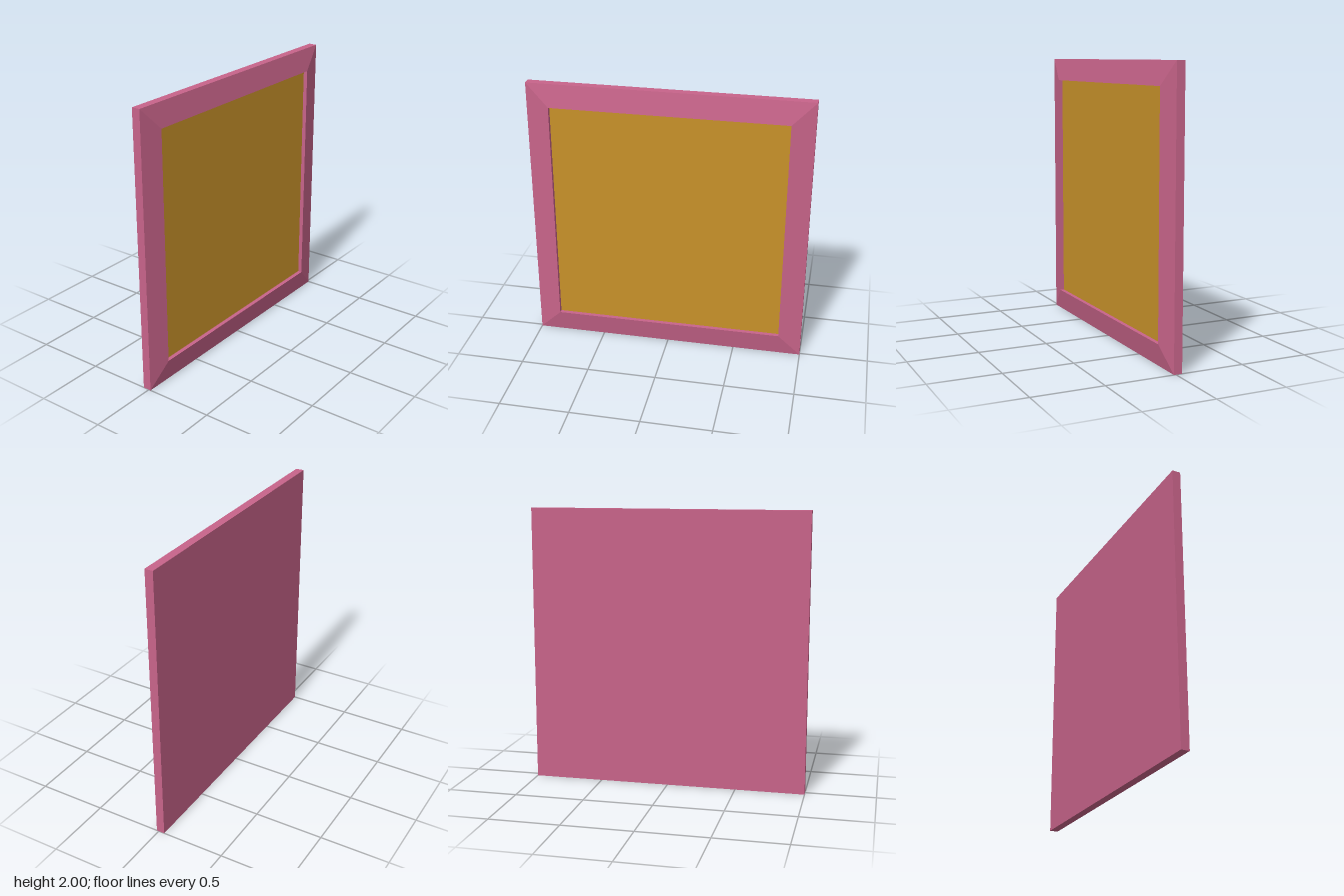
import * as THREE from 'three';

const HALF = 1, INNER = 0.837, BACK = -0.045, EDGE = 0.015, LIP = 0.045;

// Four-sided lathe: each profile point is [half width, z], swept round a square
function squareSweep(profile) {
  const points = profile.map(([half, z]) => new THREE.Vector2(half * Math.SQRT2, z));
  const swept = new THREE.LatheGeometry(points, 4, Math.PI / 4);
  swept.rotateX(Math.PI / 2);
  const geometry = swept.toNonIndexed();
  geometry.computeVertexNormals();
  return geometry;
}

function addPart(group, name, geometry, color) {
  const material = new THREE.MeshStandardMaterial({ color, flatShading: true });
  const mesh = new THREE.Mesh(geometry, material);
  mesh.name = name;
  mesh.position.y = HALF;
  group.add(mesh);
  return mesh;
}

export function createModel() {
  const group = new THREE.Group();
  group.name = 'framedPanel';

  // Frame: flat back, square sides, sloping face and inner wall
  addPart(group, 'frame', squareSweep([
    [0, BACK], [HALF, BACK], [HALF, EDGE], [INNER, LIP], [INNER, EDGE],
  ]), 0xc8648a);

  // Recessed panel filling the opening
  const panel = addPart(group, 'panel', new THREE.PlaneGeometry(2 * INNER, 2 * INNER), 0xc8922a);
  panel.position.z = EDGE;

  return group;
}
